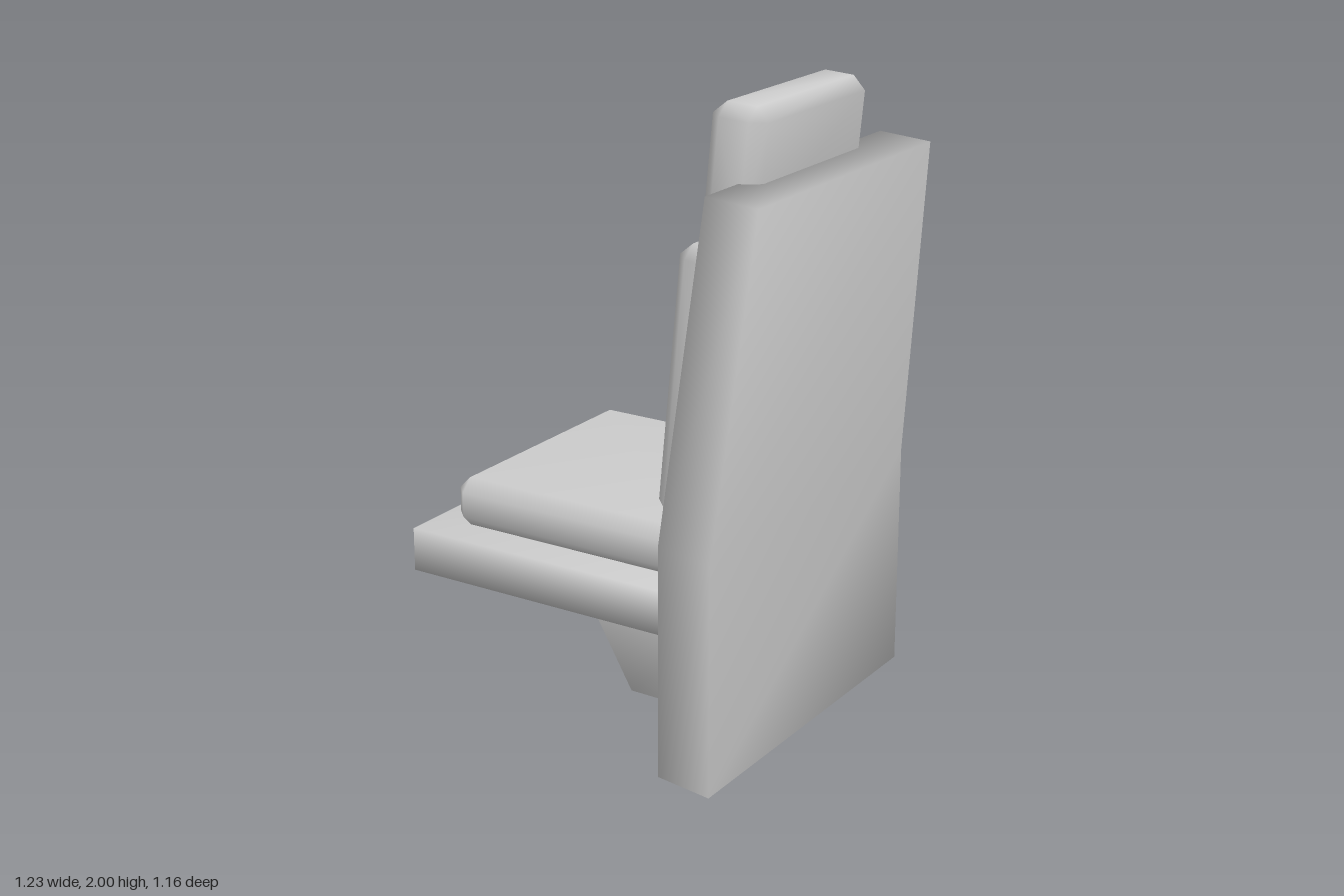
import * as THREE from 'three';
import { mergeVertices } from 'three/addons/utils/BufferGeometryUtils.js';
import { ConvexGeometry } from 'three/addons/geometries/ConvexGeometry.js';

const material = new THREE.MeshStandardMaterial({ color: 0xcccccc });

function makeMesh(name, geometry) {
  const mesh = new THREE.Mesh(geometry, material);
  mesh.name = name;
  return mesh;
}

// Four-sided loft with shared, smooth normals.
// Each ring, from the bottom up: [front x, front y, back x, back y, half width]
function loft(rings) {
  const zMid = -0.003;
  const positions = [];
  const index = [];
  for (const [xf, yf, xb, yb, w] of rings) {
    positions.push(xf, yf, zMid + w, xb, yb, zMid + w, xb, yb, zMid - w, xf, yf, zMid - w);
  }
  for (let r = 0; r < rings.length - 1; r++) {
    for (let i = 0; i < 4; i++) {
      const a = r * 4 + i;
      const b = r * 4 + ((i + 1) % 4);
      index.push(a, b, b + 4, a, b + 4, a + 4);
    }
  }
  const t = (rings.length - 1) * 4;
  index.push(0, 2, 1, 0, 3, 2, t, t + 1, t + 2, t, t + 2, t + 3);
  const geometry = new THREE.BufferGeometry();
  geometry.setAttribute('position', new THREE.Float32BufferAttribute(positions, 3));
  geometry.setIndex(index);
  geometry.computeVertexNormals();
  return geometry;
}

// Box with every edge chamfered and smooth-shaded; skew slides z along x
function cushion(width, height, depth, bevel, skew = 0) {
  const half = [width / 2, height / 2, depth / 2];
  const points = [];
  for (const sx of [-1, 1]) for (const sy of [-1, 1]) for (const sz of [-1, 1]) {
    for (let axis = 0; axis < 3; axis++) {
      const [x, y, z] = half.map((h, i) => (i === axis ? h : h - bevel));
      points.push(new THREE.Vector3(sx * x, sy * y, sz * z + skew * sx * x));
    }
  }
  const hull = new ConvexGeometry(points);
  hull.deleteAttribute('normal');
  const geometry = mergeVertices(hull, 1e-4);
  geometry.computeVertexNormals();
  return geometry;
}

export function createModel() {
  const group = new THREE.Group();
  group.name = 'seat';
  const tilt = -0.095;

  // Back shell: upright below, leaning and narrowing above the bend
  group.add(makeMesh('backShell', loft([
    [0.335, 0.02, 0.51, 0, 0.582],
    [0.335, 0.75, 0.51, 0.73, 0.582],
    [0.44, 1.778, 0.612, 1.765, 0.507],
  ])));

  // Seat pan, running into the shell
  group.add(makeMesh('seatPan', loft([
    [-0.62, 0.44, 0.42, 0.44, 0.511],
    [-0.62, 0.58, 0.42, 0.58, 0.511],
  ])));

  // Slanted bracket under the pan
  group.add(makeMesh('supportBracket', loft([
    [-0.045, 0.03, 0.42, 0.025, 0.155],
    [-0.285, 0.442, 0.42, 0.442, 0.155],
  ])));

  // Padding
  const seatCushion = makeMesh('seatCushion', cushion(0.85, 0.16, 0.85, 0.04));
  seatCushion.position.set(-0.105, 0.656, -0.004);
  group.add(seatCushion);

  const backCushion = makeMesh('backCushion', cushion(0.18, 0.84, 0.85, 0.04));
  backCushion.position.set(0.336, 1.18, -0.004);
  backCushion.rotation.z = tilt;
  group.add(backCushion);

  const headrest = makeMesh('headrest', cushion(0.17, 0.405, 0.635, 0.04, -0.13));
  headrest.position.set(0.408, 1.795, 0.012);
  headrest.rotation.z = tilt;
  group.add(headrest);

  return group;
}
